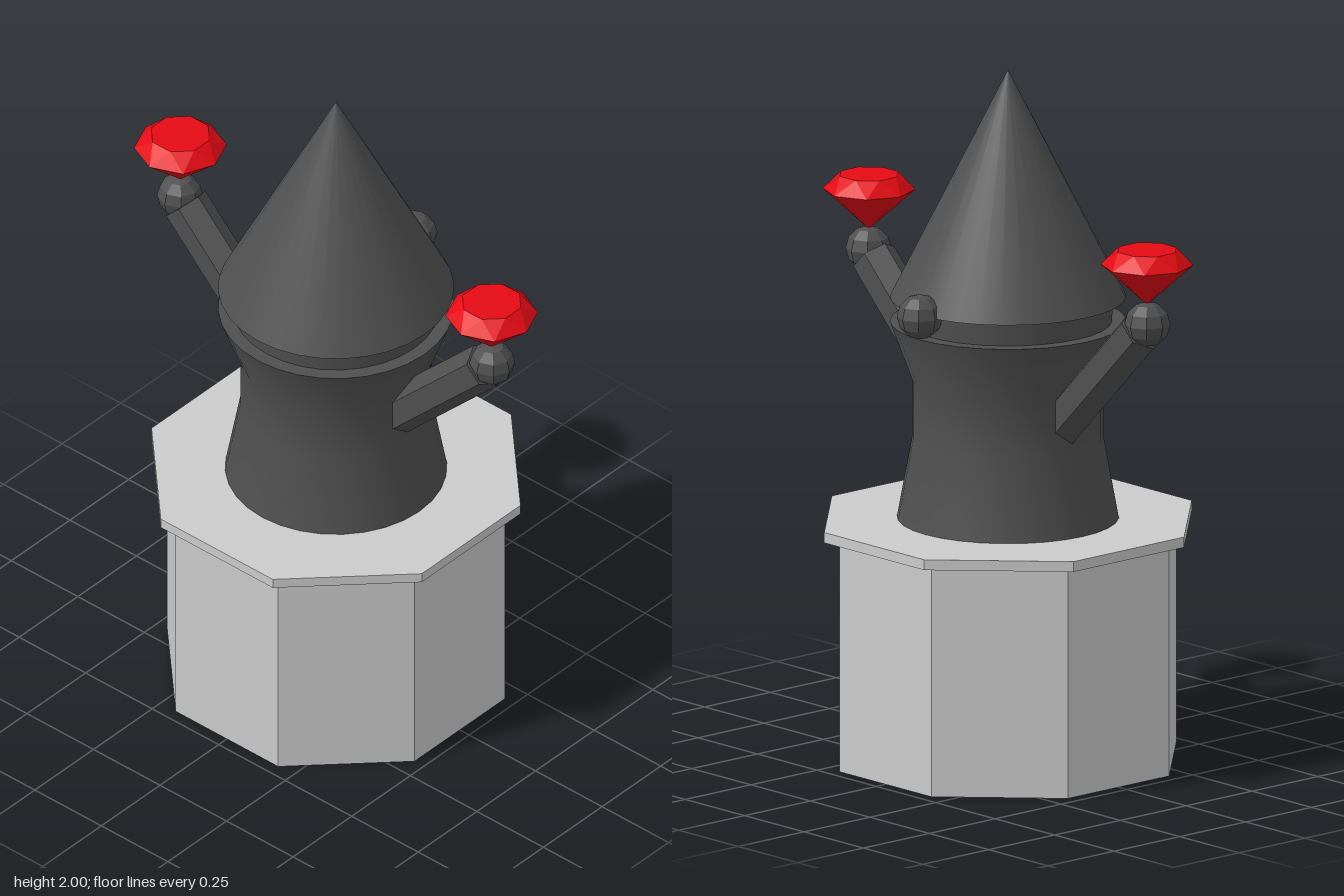
import * as THREE from 'three';
import { toCreasedNormals } from 'three/addons/utils/BufferGeometryUtils.js';
import { ConvexGeometry } from 'three/addons/geometries/ConvexGeometry.js';

const stone = new THREE.MeshStandardMaterial({ color: 0xcccccc, flatShading: true });
const dark = new THREE.MeshStandardMaterial({ color: 0x505050 });
const darkFlat = new THREE.MeshStandardMaterial({ color: 0x505050, flatShading: true });
const red = new THREE.MeshStandardMaterial({ color: 0xe60a14, flatShading: true });

function add(parent, name, geometry, material, x = 0, y = 0, z = 0) {
  const mesh = new THREE.Mesh(geometry, material);
  mesh.name = name;
  mesh.position.set(x, y, z);
  parent.add(mesh);
  return mesh;
}

// Octagonal prism with a flat side facing front
function octagon(apothem, height) {
  const r = apothem / Math.cos(Math.PI / 8);
  return new THREE.CylinderGeometry(r, r, height, 8).rotateY(Math.PI / 8);
}

// Turned solid from [radius, y] pairs, smooth around with sharp rims
function turned(profile) {
  const points = profile.map(([r, y]) => new THREE.Vector2(r, y));
  return toCreasedNormals(new THREE.LatheGeometry(points, 32), 0.6);
}

// Cut gem: pointed below, eight-sided girdle, flat table on top
function gemGeometry() {
  const points = [new THREE.Vector3(0, -0.117, 0)];
  for (let i = 0; i < 8; i++) {
    const a = (i * Math.PI) / 4, b = a + Math.PI / 8;
    points.push(new THREE.Vector3(0.131 * Math.sin(a), 0, 0.131 * Math.cos(a)));
    points.push(new THREE.Vector3(0.087 * Math.sin(b), 0.043, 0.087 * Math.cos(b)));
  }
  return new ConvexGeometry(points);
}

export function createModel() {
  const model = new THREE.Group();
  model.name = 'gemTower';

  // Pedestal
  add(model, 'pedestal', octagon(0.465, 0.67), stone, 0, 0.335, 0);
  add(model, 'pedestalSlab', octagon(0.508, 0.03), stone, 0, 0.685, 0);

  // Waisted body, neck and pointed roof
  add(model, 'body', turned([
    [0, 0.7], [0.313, 0.7], [0.27, 0.935], [0.27, 1.1], [0.333, 1.27], [0, 1.27],
  ]), dark);
  add(model, 'neck', new THREE.CylinderGeometry(0.297, 0.293, 0.07, 32), dark, 0, 1.305, 0);
  add(model, 'roof', turned([[0, 1.34], [0.333, 1.34], [0, 2]]), dark);

  // Side knob
  const ball = new THREE.SphereGeometry(0.065, 8, 6);
  add(model, 'knob', ball, darkFlat, 0.335, 1.338, 0);

  // Raised arms, front and back, each holding a gem
  for (const side of [1, -1]) {
    const arm = new THREE.Group();
    arm.name = side > 0 ? 'frontArm' : 'backArm';
    const limb = add(arm, 'limb', new THREE.CylinderGeometry(0.066, 0.066, 0.5, 6), darkFlat, 0, 1.173, 0.388);
    limb.rotation.x = Math.PI / 4;
    add(arm, 'hand', ball, darkFlat, 0, 1.37, 0.587);
    add(arm, 'gem', gemGeometry(), red, 0, 1.543, 0.585);
    if (side < 0) arm.rotation.y = Math.PI;
    model.add(arm);
  }
  return model;
}
